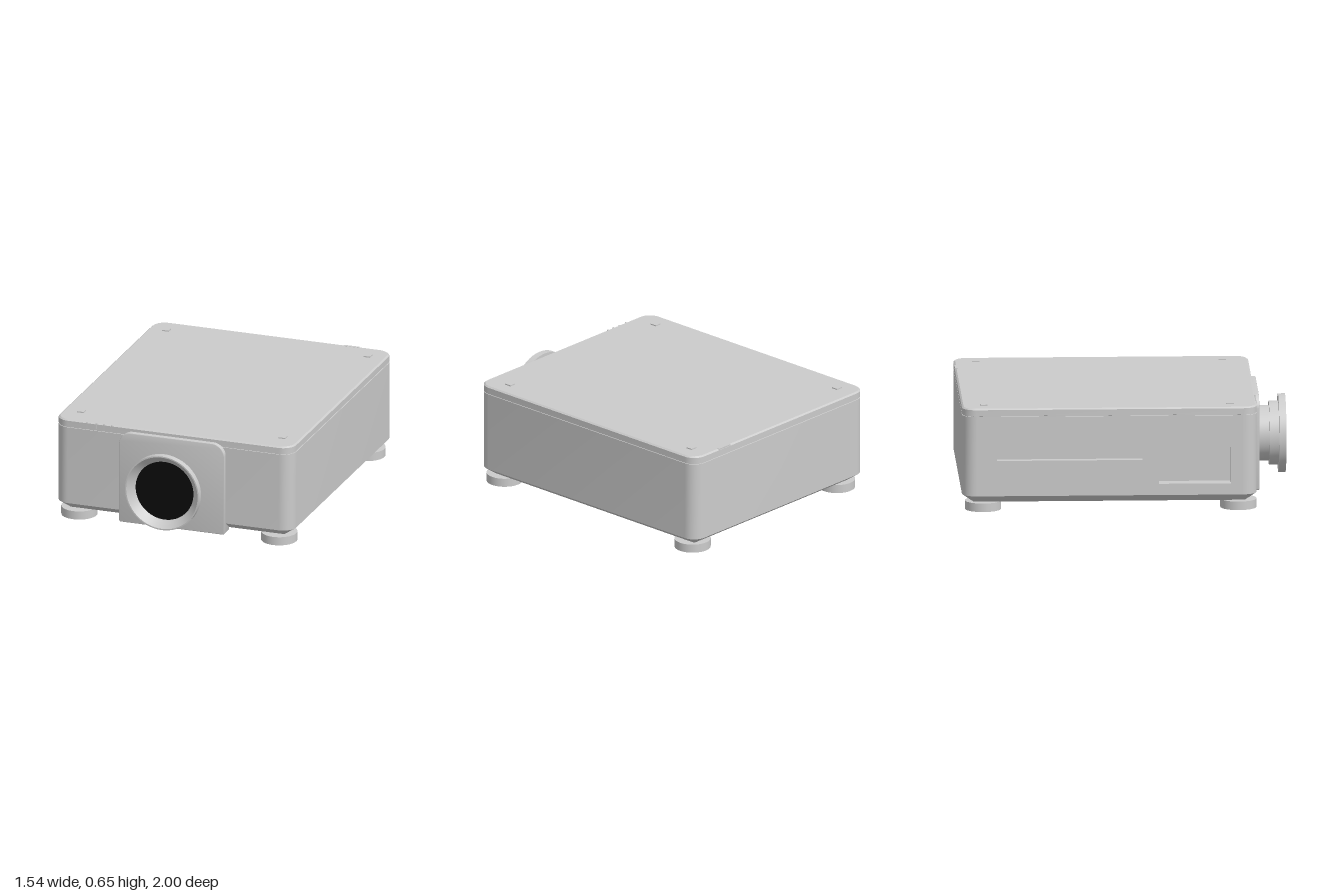
import * as THREE from 'three';
import { toCreasedNormals } from 'three/addons/utils/BufferGeometryUtils.js';

const W = 0.77, ZF = 0.8, ZB = -1, R = 0.085;
const grey = new THREE.MeshStandardMaterial({ color: 0xcccccc });
const black = new THREE.MeshStandardMaterial({ color: 0x0a0a0a });

// rounded plan outline as [x, z]; the closing segment is the -x wall
function outline(inset) {
  const pts = [], r = R - inset, n = 10;
  const corners = [[-W + R, ZB + R, 2], [W - R, ZB + R, 3], [W - R, ZF - R, 0], [-W + R, ZF - R, 1]];
  for (const [cx, cz, q] of corners) {
    for (let i = 0; i <= n; i++) {
      const a = (q + i / n) * Math.PI / 2;
      pts.push([cx + r * Math.cos(a), cz + r * Math.sin(a)]);
    }
  }
  return pts;
}

// wall skin through [y, inset] levels
function band(levels, closed) {
  const pos = [], index = [], n = outline(0).length;
  for (const [y, inset] of levels) for (const [x, z] of outline(inset)) pos.push(x, y, z);
  for (let l = 0; l < levels.length - 1; l++) {
    for (let i = 0; i < (closed ? n : n - 1); i++) {
      const a = l * n + i, b = l * n + (i + 1) % n;
      index.push(a, a + n, b, b, a + n, b + n);
    }
  }
  const g = new THREE.BufferGeometry();
  g.setAttribute('position', new THREE.Float32BufferAttribute(pos, 3));
  g.setIndex(index);
  g.computeVertexNormals();
  return toCreasedNormals(g, 0.5);
}

function cap(y, inset, up) {
  const s = new THREE.Shape(outline(inset).map(([x, z]) => new THREE.Vector2(x, up ? -z : z)));
  return new THREE.ShapeGeometry(s).rotateX(up ? -Math.PI / 2 : Math.PI / 2).translate(0, y, 0);
}

function rectPath(Type, u0, v0, u1, v1) {
  return new Type([[u0, v0], [u1, v0], [u1, v1], [u0, v1]].map(p => new THREE.Vector2(...p)));
}

export function createModel() {
  const root = new THREE.Group();
  const add = (name, geo, mat = grey, x = 0, y = 0, z = 0) => {
    const m = new THREE.Mesh(geo, mat);
    m.name = name;
    m.position.set(x, y, z);
    root.add(m);
    return m;
  };
  const box = (name, x0, x1, y0, y1, z0, z1) =>
    add(name, new THREE.BoxGeometry(x1 - x0, y1 - y0, z1 - z0), grey, (x0 + x1) / 2, (y0 + y1) / 2, (z0 + z1) / 2);

  // housing: tapered base, walls, lid with a fine seam
  add('baseTaper', band([[0.053, 0.068], [0.1, 0]], true));
  add('housingWall', band([[0.1, 0], [0.594, 0]], false));
  add('lidEdge', band([[0.594, 0], [0.595, 0.004], [0.599, 0.004], [0.6, 0], [0.637, 0], [0.645, 0.01]], true));
  add('lidTop', cap(0.645, 0.01, true));
  add('bottomPlate', cap(0.053, 0.068, false));

  // right wall with connector and vent recesses
  const depth = 0.09;
  const wall = rectPath(THREE.Shape, ZB + R, 0.1, ZF - R, 0.594);
  wall.holes.push(rectPath(THREE.Path, -0.79, 0.32, 0.1, 0.585), rectPath(THREE.Path, 0.2, 0.17, 0.64, 0.585));
  const wallGeo = new THREE.ExtrudeGeometry(wall, { depth, bevelEnabled: false }).rotateY(-Math.PI / 2);
  add('recessedSideWall', wallGeo, grey, -W + depth);
  box('ventPanel', -W + 0.045, -W + 0.1, 0.31, 0.59, -0.8, 0.11);
  box('upperConnectorPanel', -W + 0.012, -W + 0.1, 0.395, 0.59, 0.2, 0.64);
  box('lowerConnectorPanel', -W + 0.085, -W + 0.1, 0.16, 0.4, 0.19, 0.65);

  // front plate with rounded upper corners
  const hw = 0.342, y0 = 0.035, y1 = 0.62, r = 0.08, s = 0.012;
  const plate = new THREE.Shape();
  plate.moveTo(-hw + s, y0).lineTo(hw - s, y0);
  plate.absarc(hw - s, y0 + s, s, -Math.PI / 2, 0);
  plate.absarc(hw - r, y1 - r, r, 0, Math.PI / 2);
  plate.absarc(-hw + r, y1 - r, r, Math.PI / 2, Math.PI);
  plate.absarc(-hw + s, y0 + s, s, Math.PI, Math.PI * 1.5);
  add('lensPlate', toCreasedNormals(new THREE.ExtrudeGeometry(plate, {
    depth: 0.085, bevelThickness: 0.005, bevelSize: 0.005, bevelOffset: -0.005, bevelSegments: 2, curveSegments: 12,
  }), 0.5), grey, 0, 0, 0.74);

  // stepped lens barrel with a flared, recessed mouth
  const profile = [[0.17, 0.82], [0.17, 0.9], [0.195, 0.9], [0.195, 0.957], [0.24, 0.957],
    [0.24, 1], [0.232, 1], [0.195, 0.96], [0.187, 0.95]].map(p => new THREE.Vector2(...p));
  add('lensBarrel', toCreasedNormals(new THREE.LatheGeometry(profile, 64).rotateX(Math.PI / 2), 0.5), grey, 0, 0.323, 0);
  add('lensGlass', new THREE.CircleGeometry(0.188, 64), black, 0, 0.323, 0.952);

  // feet and lid pads at the four corners
  for (const sx of [-1, 1]) {
    for (const z of [0.69, -0.87]) {
      add('foot', new THREE.CylinderGeometry(0.111, 0.111, 0.053, 40), grey, sx * 0.65, 0.0265, z);
    }
    for (const z of [0.64, -0.865]) {
      add('lidPad', new THREE.BoxGeometry(0.044, 0.012, 0.044), grey, sx * 0.655, 0.646, z);
    }
  }

  // small ribs on the front lid edge and a tab at the rear
  for (const x of [-0.56, -0.5, -0.45, -0.4]) box('lidRib', x - 0.004, x + 0.004, 0.608, 0.643, 0.785, 0.803);
  box('rearTab', 0.45, 0.55, 0.637, 0.646, -0.999, -0.98);

  return root;
}
